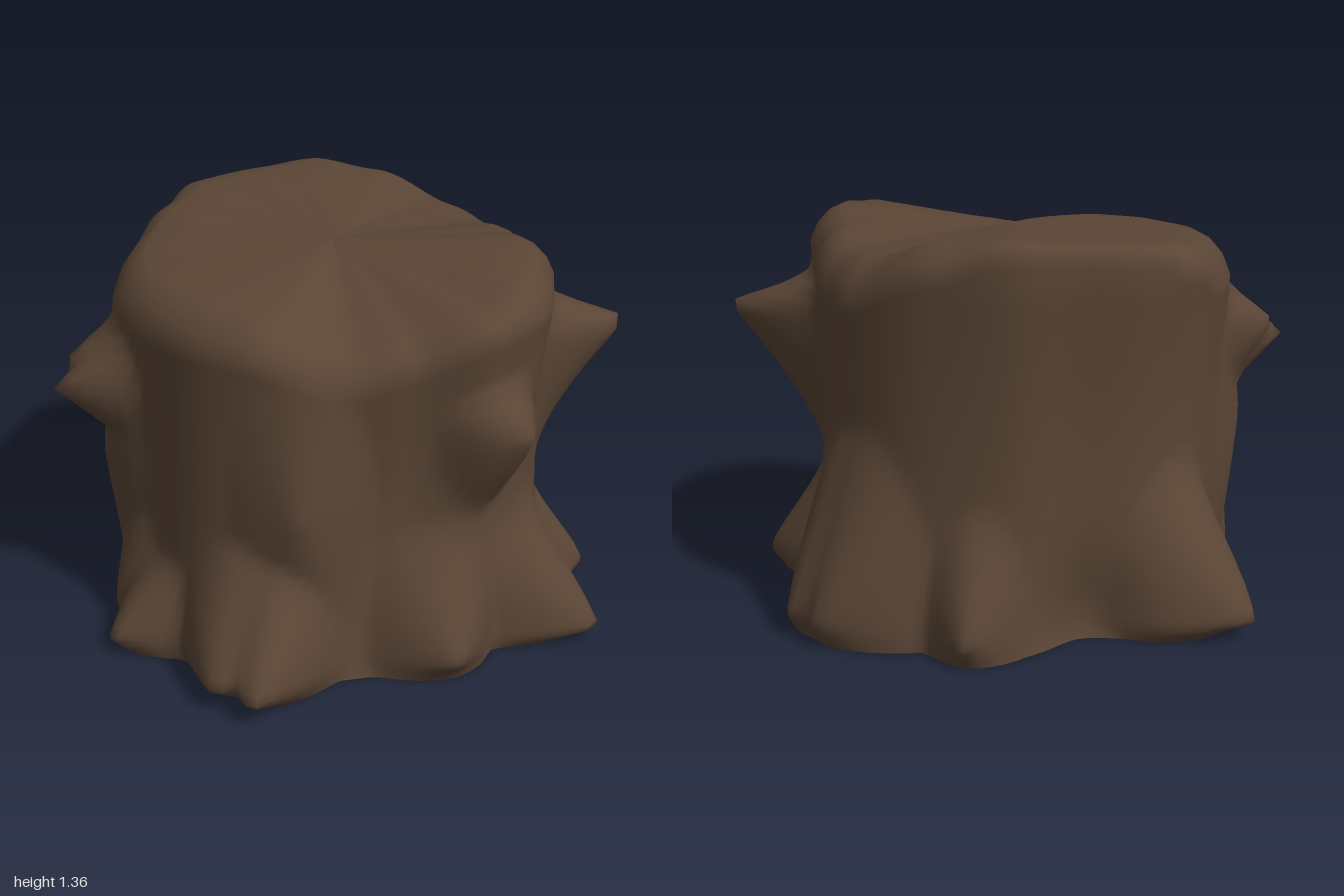
import * as THREE from 'three';

const RAD = Math.PI / 180;
const SEG = 144, ROWS = 34;

// Rim by angle in degrees (0 = +x, 90 = +z): radius, height of the cut's shoulder, height of the wall top
const RIM = [
  [0, .81, 1.25, 1.19], [20, .71, 1.18, 1.08], [36, .71, 1.14, 1.03], [66, .74, 1.24, 1.14],
  [90, .735, 1.25, 1.14], [120, .76, 1.26, 1.12], [145, .75, 1.28, 1.12], [165, .76, 1.31, 1.22],
  [180, .78, 1.325, 1.3], [200, .745, 1.345, 1.32], [217, .77, 1.36, 1.33], [235, .76, 1.34, 1.25],
  [262, .75, 1.26, 1.13], [280, .72, 1.25, 1.12], [303, .70, 1.3, 1.18], [323, .76, 1.34, 1.22],
  [345, .82, 1.31, 1.2], [360, .81, 1.25, 1.19],
];

// Roots and broken branches: angle, tip radius, tip height, half widths: angle, up, down, sharpness
const FEATURES = [
  { a: 165, r: 1.04, y: .07, w: 24, up: .52, down: .13, p: 1.25 },  // left root
  { a: 94, r: .97, y: .06, w: 17, up: .27, down: .2, p: 1.3 },      // front root
  { a: 64, r: 1.04, y: .09, w: 23, up: .42, down: .2, p: 1.3 },     // front right roots
  { a: 56, r: 1.09, y: .09, w: 18, up: .42, down: .2, p: 1.3 },
  { a: 107, r: .84, y: .08, w: 13, up: .4, down: .3, p: 1.0 },      // swell beside the front root
  { a: 14, r: .92, y: .1, w: 20, up: .42, down: .2, p: 1.2 },       // right roots
  { a: -19, r: 1.06, y: .06, w: 21, up: .47, down: .13, p: 1.5 },
  { a: -46, r: .93, y: .06, w: 17, up: .35, down: .2, p: 1.2 },
  { a: -102, r: .98, y: .08, w: 23, up: .62, down: .3, p: 1.1 },    // back roots
  { a: -94, r: .98, y: .08, w: 20, up: .62, down: .3, p: 1.1 },
  { a: -135, r: .94, y: .08, w: 14, up: .4, down: .25, p: 1.2 },
  { a: 118, r: .82, y: .6, w: 17, up: .55, down: .55, p: 1.0 },     // ridge below the front knot
  { a: 50, r: .79, y: .6, w: 20, up: .5, down: .7, p: 1.0 },        // front right ridge
  { a: 119, r: .94, y: .93, w: 13, up: .14, down: .25, p: .95 },    // front knot
  { a: 115, r: .99, y: .87, w: 12, up: .18, down: .22, p: 1.0 },
  { a: -2, r: .93, y: .87, w: 14, up: .14, down: .34, p: 1.0 },     // right branch stub
  { a: -49, r: 1.04, y: 1.0, w: 18, up: .13, down: .55, p: 1.5 },   // back right spike
];

// Hollows between the ridges: angle, height, depth, angular and vertical spread
const HOLLOWS = [
  { a: 33, y: .65, d: .03, w: 10, h: .4 },
  { a: -4, y: .55, d: .03, w: 9, h: .2 },
  { a: -2, y: 0, d: .07, w: 12, h: .2 },
  { a: -70, y: .5, d: .03, w: 10, h: .5 },
  { a: 195, y: 0, d: .12, w: 16, h: .25 },
  { a: 132, y: 0, d: .06, w: 12, h: .3 },
];

const turn = (a, b) => Math.abs(((a - b + 900) % 360) - 180);

function rim(deg) {
  const d = ((deg % 360) + 360) % 360;
  const i = RIM.findIndex((k, n) => n > 0 && d <= k[0]);
  const k0 = RIM[i - 1], k1 = RIM[i];
  const t = THREE.MathUtils.smoothstep(d, k0[0], k1[0]);
  const [radius, shoulder, wall] = [1, 2, 3].map(n => THREE.MathUtils.lerp(k0[n], k1[n], t));
  return { radius, shoulder, wall };
}

// Radius of the bark at an angle and height
function barkRadius(deg, y) {
  const t = Math.min(1, y / 1.2);
  const waist = 1 - .08 * Math.cos(deg * RAD) ** 2 * Math.sin(Math.PI * Math.pow(t, .9));
  const flare = .04 * Math.max(0, 1 - y / .4) ** 2;
  const folds = .01 * Math.sin(deg * 9 * RAD + 2.5 * y) * (1 - t);
  let body = rim(deg).radius * waist + flare + folds;
  for (const h of HOLLOWS)
    body -= h.d * Math.exp(-((turn(deg, h.a) / h.w) ** 2) - ((y - h.y) / h.h) ** 2);
  let r = body;
  for (const f of FEATURES) {
    const da = turn(deg, f.a) / f.w;
    const dy = y > f.y ? (y - f.y) / f.up : (f.y - y) / f.down;
    const k = Math.max(0, 1 - Math.hypot(da, dy));
    r = Math.max(r, body + (f.r - body) * Math.pow(k, f.p));
  }
  return r;
}

// Closed rings joined into a smooth skin; point(deg, row) gives [x, y, z]
function loft(rows, point) {
  const pos = [], index = [];
  for (let j = 0; j < rows; j++)
    for (let i = 0; i < SEG; i++) pos.push(...point(i * 360 / SEG, j));
  for (let j = 0; j < rows - 1; j++)
    for (let i = 0; i < SEG; i++) {
      const n = (i + 1) % SEG;
      const a = j * SEG + i, b = j * SEG + n, c = a + SEG, d = b + SEG;
      index.push(a, c, b, b, c, d);
    }
  const g = new THREE.BufferGeometry();
  g.setAttribute('position', new THREE.Float32BufferAttribute(pos, 3));
  g.setIndex(index);
  g.computeVertexNormals();
  return g;
}

const polar = (deg, r, y) => [r * Math.cos(deg * RAD), y, r * Math.sin(deg * RAD)];

export function createModel() {
  const group = new THREE.Group();
  const bark = new THREE.MeshStandardMaterial({ color: 0x5a4535 });
  bark.name = 'bark brown';

  const add = (name, geometry) => {
    const mesh = new THREE.Mesh(geometry, bark);
    mesh.name = name;
    group.add(mesh);
  };

  // Trunk with roots and branch stubs, running over a worn edge into the uneven cut top
  const shoulderRings = [[.965, .55], [.91, .2], [.84, 0]];   // scale, drop towards the wall
  const cutRings = [.8, .6, .4, .2, .001];                    // share of the shoulder radius
  const wornRows = ROWS + shoulderRings.length;
  add('stump', loft(wornRows + cutRings.length, (deg, j) => {
    const { radius, shoulder, wall } = rim(deg);
    if (j < ROWS) {
      const y = wall * Math.pow(j / (ROWS - 1), 1.3);
      return polar(deg, barkRadius(deg, y), y);
    }
    if (j < wornRows) {
      const [scale, fall] = shoulderRings[j - ROWS];
      const edge = THREE.MathUtils.lerp(radius, barkRadius(deg, wall), fall);
      return polar(deg, edge * scale, THREE.MathUtils.lerp(shoulder, wall, fall));
    }
    const s = cutRings[j - wornRows];
    return polar(deg, radius * .84 * s, THREE.MathUtils.lerp(1.3, shoulder, s ** 1.4));
  }));

  // Flat underside
  add('underside', loft(3, (deg, j) => polar(deg, [.001, .5, 1][j] * barkRadius(deg, 0), 0)));

  return group;
}
